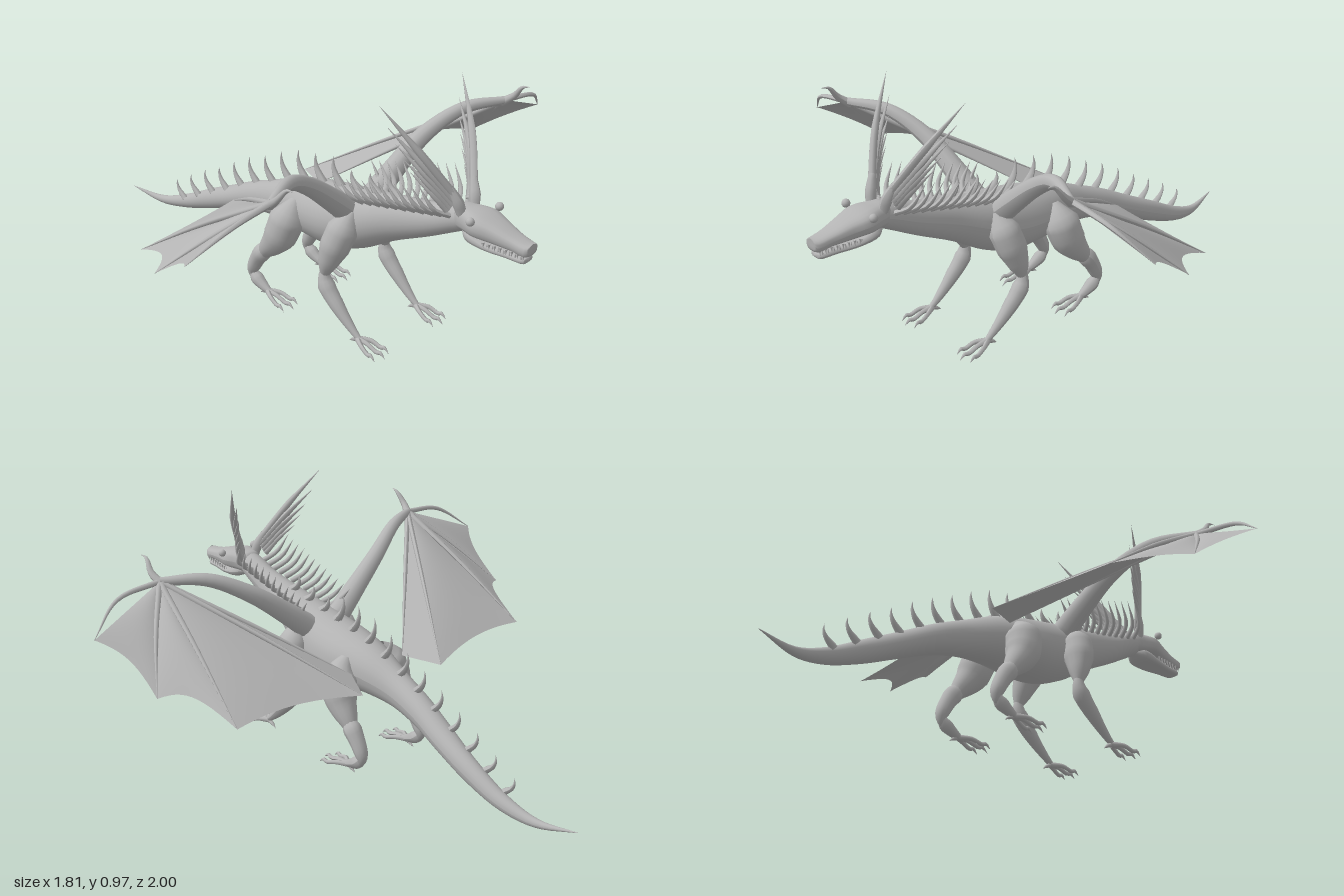
import * as THREE from 'three';

const hide = new THREE.MeshStandardMaterial({ color: 0xb4b4b4, side: THREE.DoubleSide });
hide.name = 'grey hide';
const V = (p) => new THREE.Vector3(...p);

function add(parent, geometry, name) {
  const mesh = new THREE.Mesh(geometry, hide);
  mesh.name = name;
  parent.add(mesh);
  return mesh;
}

// Grid of points -> surface
function grid(rows, cols, point) {
  const pos = [], idx = [];
  for (let i = 0; i <= rows; i++) for (let j = 0; j <= cols; j++) pos.push(...point(i / rows, j / cols));
  for (let i = 0; i < rows; i++) for (let j = 0; j < cols; j++) {
    const a = i * (cols + 1) + j, c = a + cols + 1;
    idx.push(a, c, a + 1, a + 1, c, c + 1);
  }
  const g = new THREE.BufferGeometry();
  g.setAttribute('position', new THREE.Float32BufferAttribute(pos, 3));
  g.setIndex(idx);
  g.computeVertexNormals();
  return g;
}

// Skin over upright cross-sections [x, y, z, halfWidth, halfHeight], front to back
function loft(sections, rows, cols, power = 1) {
  const mid = new THREE.CatmullRomCurve3(sections.map((s) => V(s)));
  const size = new THREE.CatmullRomCurve3(sections.map((s) => V([s[3], s[4], s[2]])));
  const bend = (v) => Math.sign(v) * Math.abs(v) ** power;
  return grid(rows, cols, (u, v) => {
    const c = mid.getPoint(u), r = size.getPoint(u), a = v * Math.PI * 2;
    return [c.x + Math.max(r.x, 0) * bend(Math.cos(a)), c.y + Math.max(r.y, 0) * bend(Math.sin(a)), c.z];
  });
}

// Tube along points with a changing radius
function limb(points, radii, segs = 12, sides = 10) {
  const curve = new THREE.CatmullRomCurve3(points.map(V));
  const g = new THREE.TubeGeometry(curve, segs, 1, sides, false);
  const pos = g.attributes.position, p = new THREE.Vector3();
  for (let i = 0; i < pos.count; i++) {
    const t = Math.floor(i / (sides + 1)) / segs, c = curve.getPointAt(t);
    const f = t * (radii.length - 1), k = Math.min(Math.floor(f), radii.length - 2);
    const r = THREE.MathUtils.lerp(radii[k], radii[k + 1], f - k);
    p.fromBufferAttribute(pos, i).sub(c).multiplyScalar(r).add(c);
    pos.setXYZ(i, p.x, p.y, p.z);
  }
  g.computeVertexNormals();
  return g;
}

function buildBody(group) {
  const body = [
    [0, 0.575, 0.77, 0.035, 0.035], [0, 0.565, 0.72, 0.046, 0.05], [0, 0.515, 0.6, 0.053, 0.063],
    [0, 0.465, 0.45, 0.073, 0.085], [0, 0.415, 0.32, 0.105, 0.11], [0, 0.385, 0.2, 0.12, 0.12],
    [0, 0.375, 0.08, 0.115, 0.11], [0, 0.365, -0.04, 0.09, 0.092], [0, 0.335, -0.17, 0.06, 0.07],
    [0.006, 0.295, -0.3, 0.052, 0.058], [0.018, 0.24, -0.43, 0.048, 0.05], [0.028, 0.18, -0.57, 0.038, 0.044],
    [0.022, 0.12, -0.72, 0.028, 0.03], [0, 0.092, -0.85, 0.016, 0.016], [-0.033, 0.113, -1, 0.001, 0.001],
  ];
  add(group, loft(body, 70, 24), 'body and tail');

  // Hooked back and tail spines, seated on the top line of the body
  const tops = new THREE.CatmullRomCurve3(body.map((s) => V([0, s[1] + s[4], s[2]]))).getPoints(300);
  const topAt = (z) => tops.find((p) => p.z <= z).y;
  for (let i = 0; i < 14; i++) {
    const z = 0.45 - i * 0.0885, y = topAt(z) - 0.012;
    const h = i < 3 ? 0.075 : 0.115 - Math.max(0, i - 5) * 0.005, w = 0.019 - i * 0.0004;
    add(group, limb([[0, y, z], [0, y + h * 0.42, z - 0.036], [0, y + h * 0.75, z - 0.046], [0, y + h, z - 0.042]],
      [w, w * 0.75, w * 0.4, 0], 9, 6), 'back spine');
  }
}

function buildHead(group) {
  add(group, loft([
    [0, 0.57, 1, 0.001, 0.001], [0, 0.547, 0.997, 0.03, 0.02], [0, 0.553, 0.94, 0.04, 0.024],
    [0, 0.566, 0.87, 0.056, 0.034], [0, 0.576, 0.81, 0.072, 0.04], [0, 0.577, 0.76, 0.056, 0.042],
    [0, 0.575, 0.715, 0.04, 0.04], [0, 0.57, 0.7, 0.001, 0.001],
  ], 28, 20, 0.75), 'skull');
  add(group, loft([
    [0, 0.508, 0.99, 0.001, 0.001], [0, 0.508, 0.985, 0.026, 0.01], [0, 0.51, 0.92, 0.036, 0.012],
    [0, 0.515, 0.84, 0.05, 0.015], [0, 0.53, 0.77, 0.05, 0.022], [0, 0.54, 0.72, 0.002, 0.002],
  ], 20, 16, 0.7), 'lower jaw');
  for (const s of [-1, 1]) {
    const eye = add(group, new THREE.SphereGeometry(0.015, 12, 8), 'eye');
    eye.position.set(s * 0.078, 0.608, 0.81);
    for (let i = 0; i < 8; i++) {
      const z = 0.985 - i * 0.02, x = s * (0.024 + i * 0.003);
      const upper = add(group, new THREE.ConeGeometry(0.005, 0.022, 5), 'upper tooth');
      upper.position.set(x + s * 0.003, 0.525, z);
      upper.rotation.x = Math.PI;
      add(group, new THREE.ConeGeometry(0.004, 0.018, 5), 'lower tooth').position.set(x, 0.524, z - 0.01);
    }

    // Fanned horn: one long blade and shorter spikes behind it
    add(group, limb([[s * 0.03, 0.58, 0.745], [s * 0.045, 0.64, 0.732], [s * 0.062, 0.69, 0.71]], [0.016, 0.02, 0.012], 8, 8), 'horn root');
    const tips = [[0.212, 0.967, 0.528], [0.185, 0.89, 0.54], [0.165, 0.83, 0.56], [0.15, 0.78, 0.58], [0.135, 0.735, 0.6]];
    tips.forEach(([x, y, z], i) => {
      const b = [0.047 + 0.003 * i, 0.655 - i * 0.012, 0.727 - i * 0.006];
      const m = [(b[0] + x) / 2 + 0.002, (b[1] + y) / 2 - 0.004, (b[2] + z) / 2 + 0.016];
      add(group, limb([[s * b[0], b[1], b[2]], [s * m[0], m[1], m[2]], [s * x, y, z]], [0.014, 0.013 - i * 0.001, 0], 10, 7), 'horn spike');
    });

    // Row of spikes down each side of the neck, sweeping out and then up
    for (let i = 0; i < 12; i++) {
      const t = i / 11, z = 0.7 - t * 0.4, y = 0.575 - t * 0.075, h = 1 - t * 0.3;
      const x = 0.035 + t * 0.025, out = (0.085 - t * 0.02) * h;
      add(group, limb([[s * x, y, z], [s * (x + out * 0.7), y + 0.035 * h, z - 0.025], [s * (x + out), y + 0.118 * h, z - 0.075]],
        [0.011, 0.008, 0], 8, 6), 'neck spike');
    }
  }
}

function buildWing(group, s) {
  const at = ([x, y, z]) => [s * x, y, z];
  const wrist = [0.6, 0.73, 0.44];
  add(group, limb([[0.07, 0.46, 0.27], [0.16, 0.535, 0.28], [0.3, 0.642, 0.305], [0.45, 0.72, 0.365], wrist].map(at),
    [0.048, 0.039, 0.031, 0.024, 0.015], 20, 12), 'wing arm');
  add(group, limb([[0.595, 0.72, 0.43], [0.61, 0.755, 0.475], [0.603, 0.8, 0.515], [0.607, 0.805, 0.545]].map(at), [0.017, 0.013, 0.009, 0], 10, 8), 'wing claw');

  // Finger bones, with the leading one bowed clear of the skin
  const inner = [0.125, 0.39, -0.05];
  const tips = [[0.905, 0.61, 0.385], [0.825, 0.455, 0.135], [0.68, 0.39, -0.118], [0.19, 0.38, -0.19], inner];
  const bows = [[0.02, 0.035, 0.03], [0.005, 0.012, 0.006], [0, 0.012, 0], [0, 0.008, 0], [0, 0.006, 0]];
  tips.forEach((tip, i) => {
    const mid = tip.map((v, k) => (v + wrist[k]) / 2 + bows[i][k]);
    add(group, limb([wrist, mid, tip].map(at), [0.011, 0.008, 0.001], 14, 7), 'wing finger');
  });

  // Skin panels between fingers, scalloped at the rim
  const scallop = [0.1, 0.12, 0.05, 0];
  const W = V(wrist);
  scallop.forEach((depth, k) => {
    const a = V(tips[k]), b = V(tips[k + 1]);
    add(group, grid(10, 12, (u, v) => {
      const arch = 4 * v * (1 - v);
      const edge = a.clone().lerp(b, v).lerp(W, depth * arch);
      const p = W.clone().lerp(edge, u);
      p.y += 0.048 * arch * u * (1 - u) * (k < 3 ? 1 : 0);
      return at(p.toArray());
    }), 'wing skin');
  });
}

// Three slim forward toes and one behind, each ending in a claw
function buildFoot(group, x, z, y, reach) {
  for (let i = -1; i <= 1; i++) {
    const dx = i * 0.034, r = reach * (i ? 0.88 : 1);
    add(group, limb([[x, y, z], [x + dx * 0.75, y * 0.75 + 0.006, z + r * 0.35], [x + dx, 0.015, z + r * 0.7], [x + dx * 1.05, 0.02, z + r * 0.82], [x + dx * 1.08, 0.002, z + r]],
      [0.012, 0.009, 0.008, 0.008, 0], 14, 7), 'toe');
  }
  add(group, limb([[x, y, z], [x, y * 0.6, z - 0.025], [x, 0.008, z - 0.04]], [0.01, 0.007, 0], 6, 6), 'rear toe');
}

function buildLegs(group, s) {
  // Front leg
  add(group, limb([[s * 0.08, 0.47, 0.305], [s * 0.12, 0.4, 0.295], [s * 0.148, 0.31, 0.272], [s * 0.16, 0.24, 0.255], [s * 0.16, 0.205, 0.25]],
    [0.02, 0.057, 0.056, 0.036, 0.005], 16, 14), 'front upper leg');
  add(group, limb([[s * 0.16, 0.265, 0.25], [s * 0.162, 0.2, 0.258], [s * 0.162, 0.12, 0.325], [s * 0.16, 0.05, 0.4], [s * 0.16, 0.028, 0.43]],
    [0.01, 0.032, 0.027, 0.018, 0.009], 16, 12), 'front lower leg');
  buildFoot(group, s * 0.16, 0.415, 0.032, 0.13);

  // Hind leg
  add(group, limb([[s * 0.08, 0.42, 0.03], [s * 0.115, 0.36, 0.025], [s * 0.135, 0.28, 0], [s * 0.145, 0.21, -0.055], [s * 0.147, 0.165, -0.09]],
    [0.02, 0.068, 0.064, 0.042, 0.015], 16, 14), 'hind thigh');
  add(group, limb([[s * 0.147, 0.225, -0.045], [s * 0.148, 0.18, -0.085], [s * 0.148, 0.13, -0.118], [s * 0.148, 0.085, -0.135], [s * 0.148, 0.06, -0.125]],
    [0.015, 0.036, 0.03, 0.026, 0.012], 14, 12), 'hind shin');
  add(group, limb([[s * 0.148, 0.095, -0.14], [s * 0.148, 0.065, -0.115], [s * 0.148, 0.035, -0.06], [s * 0.148, 0.025, -0.03]],
    [0.012, 0.026, 0.018, 0.008], 10, 10), 'hind ankle');
  buildFoot(group, s * 0.148, -0.055, 0.03, 0.14);
}

export function createModel() {
  const model = new THREE.Group();
  model.name = 'winged dragon';
  const part = (name, build, ...args) => {
    const g = new THREE.Group();
    g.name = name;
    build(g, ...args);
    model.add(g);
  };
  part('body', buildBody);
  part('head', buildHead);
  for (const s of [1, -1]) {
    const side = s > 0 ? 'left' : 'right';
    part(side + ' wing', buildWing, s);
    part(side + ' legs', buildLegs, s);
  }
  return model;
}
